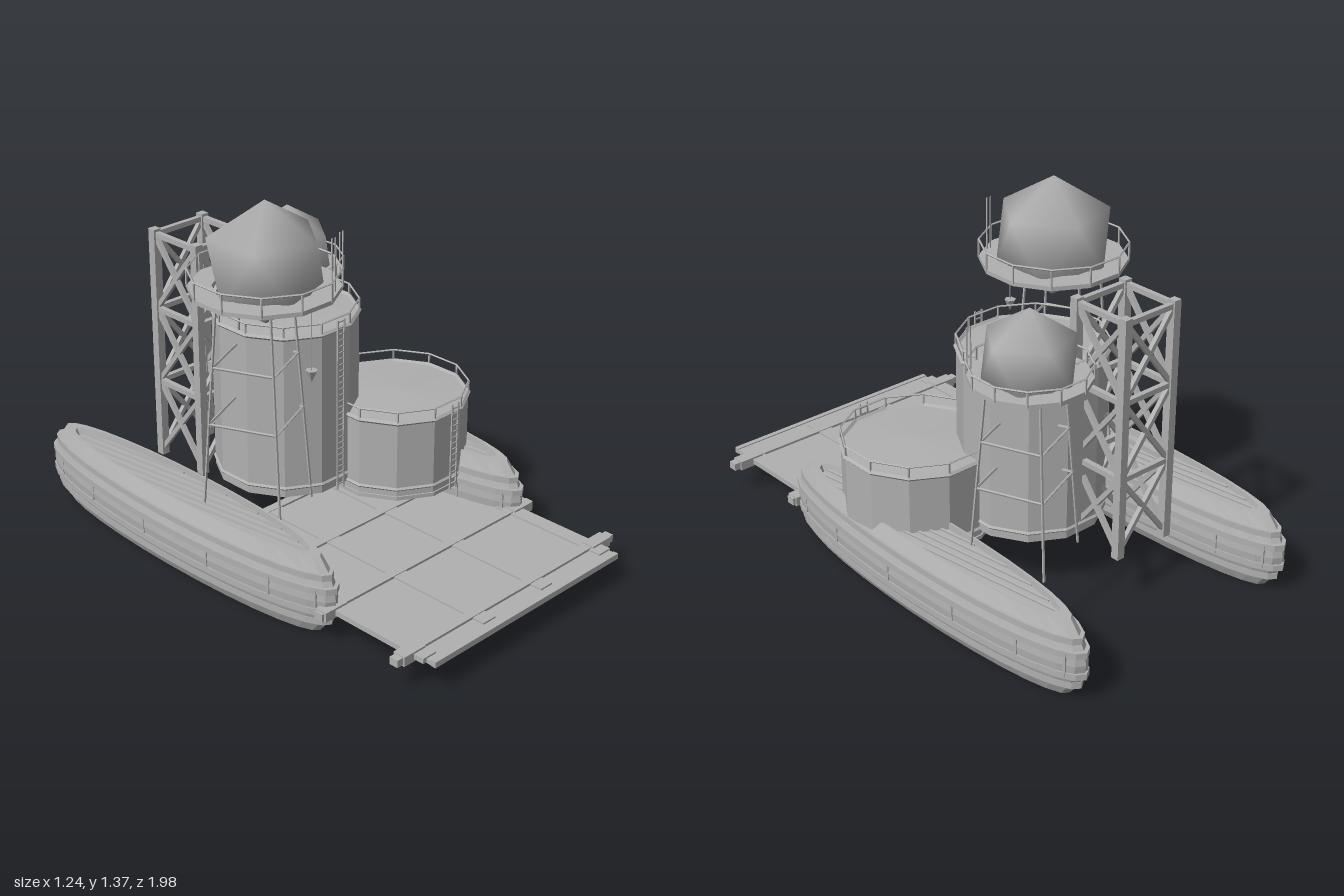
import * as THREE from 'three';
import { mergeVertices } from 'three/addons/utils/BufferGeometryUtils.js';

export function createModel() {
  const root = new THREE.Group();
  const grey = new THREE.MeshStandardMaterial({ color: 0xb0b0b0 });
  grey.name = 'weathered grey';
  const flat = new THREE.MeshStandardMaterial({ color: 0xb0b0b0, flatShading: true });
  flat.name = 'weathered grey faceted';
  const V = (x, y, z) => new THREE.Vector3(x, y, z);

  function group(name, parent = root) {
    const g = new THREE.Group();
    g.name = name;
    parent.add(g);
    return g;
  }
  function add(parent, name, geo, x = 0, y = 0, z = 0, mat = flat) {
    const m = new THREE.Mesh(geo, mat);
    m.name = name;
    m.position.set(x, y, z);
    parent.add(m);
    return m;
  }
  const box = (p, name, w, h, d, x, y, z) => add(p, name, new THREE.BoxGeometry(w, h, d), x, y, z);
  // Square or round bar between two points
  function bar(p, name, a, b, r, sides = 4) {
    const geo = new THREE.CylinderGeometry(r, r, a.distanceTo(b), sides);
    if (sides === 4) geo.rotateY(Math.PI / 4);
    const m = add(p, name, geo);
    m.position.copy(a).add(b).multiplyScalar(0.5);
    m.quaternion.setFromUnitVectors(V(0, 1, 0), b.clone().sub(a).normalize());
    return m;
  }
  function hoop(p, name, r, tube, x, y, z, n) {
    const geo = new THREE.TorusGeometry(r, tube, 4, n).rotateX(Math.PI / 2).rotateY(Math.PI / n);
    return add(p, name, geo, x, y, z);
  }
  const lathe = (pts, n) => new THREE.LatheGeometry(pts.map(q => new THREE.Vector2(...q)), n);

  // Long barrel pontoons: radius 1 is the lid rim, anything beyond is outward bulge
  function pontoonGeometry(pts) {
    const geo = lathe(pts, 28), p = geo.attributes.position;
    for (let i = 0; i < p.count; i++) {
      const x = p.getX(i), z = p.getZ(i), r = Math.hypot(x, z) || 1;
      const inner = Math.min(r, 1), bulge = Math.max(r - 1, 0);
      p.setX(i, x / r * (0.092 * inner + 0.045 * bulge));
      p.setZ(i, z / r * (0.69 * inner + 0.075 * bulge));
    }
    return geo;
  }
  for (const s of [-1, 1]) {
    const g = group(s > 0 ? 'leftPontoon' : 'rightPontoon');
    g.position.set(s * 0.482, 0, -0.22);
    add(g, 'barrelHull', pontoonGeometry([[0, 0.03], [0.2, 0.03], [0.22, 0.012], [0.27, 0.012], [0.29, 0.03],
      [0.9, 0.03], [0.92, 0], [1, 0], [1.55, 0.05], [1.9, 0.1], [2, 0.146], [1.9, 0.19], [1.55, 0.242],
      [1, 0.292], [0.92, 0.292], [0.9, 0.268], [0, 0.268]]));
    for (const [y, b] of [[0.06, 1.63], [0.105, 1.93], [0.187, 1.93], [0.232, 1.63]]) {
      add(g, 'hullHoop', pontoonGeometry([[b - 0.1, y - 0.012], [b + 0.12, y - 0.012],
        [b + 0.12, y + 0.012], [b - 0.1, y + 0.012]]));
    }
    // Staves lapped around the hull
    for (let i = 0; i < 28; i += 2) {
      const a = (i + 0.5) / 28 * Math.PI * 2;
      bar(g, 'staveBatten', V(Math.sin(a) * 0.133, 0.1, Math.cos(a) * 0.755),
        V(Math.sin(a) * 0.133, 0.19, Math.cos(a) * 0.755), 0.007);
    }
    // Diagonal lid planks
    for (let i = -3; i <= 3; i++) {
      const c = i * 0.25, h = Math.sqrt(0.85 - c * c), k = Math.SQRT1_2;
      bar(g, 'lidPlank', V((c - h) * k * 0.09, 0.27, (-c - h) * k * 0.68),
        V((c + h) * k * 0.09, 0.27, (h - c) * k * 0.68), 0.006);
    }
  }

  // Front deck with its beams
  const deck = group('deck');
  box(deck, 'deckPlate', 0.96, 0.016, 1.1, 0, 0.109, 0.44);
  for (const x of [-0.465, -0.17, 0.13, 0.455]) box(deck, 'deckBeam', 0.06, 0.02, 1.06, x, 0.113, 0.425);
  for (const [z, w] of [[0.53, 1.1], [0.89, 1.13]]) {
    box(deck, 'crossBeam', w, 0.028, 0.035, 0, 0.112, z);
    for (const s of [-1, 1]) box(deck, 'beamEnd', 0.1, 0.036, 0.05, s * 0.49, 0.112, z);
  }
  for (const z of [-0.1, 0.2]) box(deck, 'crossBeam', 0.96, 0.026, 0.035, 0, 0.112, z);
  box(deck, 'deckLip', 0.96, 0.022, 0.02, 0, 0.11, 0.985);

  // Storage tanks
  function tank(name, x, z, r, y0, y1, ladderX) {
    const g = group(name), n = 12;
    g.position.set(x, 0, z);
    add(g, 'tankWall', new THREE.CylinderGeometry(r, r, y1 - y0, n).rotateY(Math.PI / n), 0, (y0 + y1) / 2, 0);
    add(g, 'tankRoof', new THREE.CylinderGeometry(0.02, r, 0.012, n).rotateY(Math.PI / n), 0, y1 + 0.006, 0);
    hoop(g, 'roofBand', r, 0.009, 0, y1, 0, n);
    hoop(g, 'baseBand', r, 0.007, 0, y0 + 0.035, 0, n);
    hoop(g, 'roofRail', r, 0.004, 0, y1 + 0.045, 0, n);
    for (let i = 0; i < n; i++) {
      const a = (i + 0.5) / n * Math.PI * 2, c = Math.cos(a) * r, d = Math.sin(a) * r;
      bar(g, 'railPost', V(c, y1, d), V(c, y1 + 0.045, d), 0.004);
    }
    const lz = r + 0.012;
    for (const s of [-1, 1]) bar(g, 'ladderRail', V(ladderX + s * 0.016, y0, lz), V(ladderX + s * 0.016, y1 + 0.045, lz), 0.004);
    for (let y = y0 + 0.02; y < y1 + 0.04; y += 0.024) box(g, 'ladderRung', 0.032, 0.004, 0.004, ladderX, y, lz);
    return g;
  }
  tank('largeTank', 0, -0.2, 0.268, 0.21, 0.84, 0.005);
  const small = tank('smallTank', 0.325, 0.05, 0.272, 0.18, 0.485, 0.015);
  add(small, 'tankFoot', new THREE.CylinderGeometry(0.278, 0.278, 0.015, 12).rotateY(Math.PI / 12), 0, 0.18, 0);

  // Water towers: faceted ball, ring walkway and splayed thin legs
  function waterTower(name, c, legs) {
    const g = group(name), n = 12;
    const ico = new THREE.IcosahedronGeometry(c.r, 0);
    ico.deleteAttribute('normal');
    ico.deleteAttribute('uv');
    const ball = mergeVertices(ico);
    // Stand one corner straight up and point an upper corner to +x
    ball.applyQuaternion(new THREE.Quaternion().setFromUnitVectors(V(0, (1 + Math.sqrt(5)) / 2, 1).normalize()
      .set(0, 1, 0).copy(V(-1, (1 + Math.sqrt(5)) / 2, 0).normalize()), V(0, 1, 0)));
    const p = ball.attributes.position;
    let turn = 0;
    for (let i = 0; i < p.count; i++) {
      if (p.getY(i) > 0 && p.getY(i) < c.r * 0.9) turn = Math.atan2(p.getZ(i), p.getX(i));
    }
    ball.rotateY(turn);
    ball.computeVertexNormals();
    add(g, 'waterBall', ball, c.x + 0.005, c.y, c.z, grey);

    add(g, 'walkway', lathe([[c.R * 0.68, -0.008], [c.R, -0.008], [c.R, 0.008], [c.R * 0.68, 0.008], [c.R * 0.68, -0.008]], n)
      .rotateY(Math.PI / n), c.x, c.deck, c.z);
    hoop(g, 'walkwayRail', c.R, 0.004, c.x, c.deck + c.rail, c.z, n);
    for (let i = 0; i < n; i++) {
      const a = (i + 0.5) / n * Math.PI * 2, x = c.x + Math.cos(a) * c.R, z = c.z + Math.sin(a) * c.R;
      bar(g, 'railPost', V(x, c.deck, z), V(x, c.deck + c.rail, z), 0.004);
    }
    for (const d of [0, 0.016]) {
      const x = c.x + 0.115 + d, z = c.z + c.r * 0.93;
      bar(g, 'fillPipe', V(x, c.deck, z), V(x, c.deck + c.r * 0.9, z), 0.003);
    }

    const point = (k, y) => {
      const t = (y - legs.y0) / (c.deck - legs.y0), R = THREE.MathUtils.lerp(legs.r0, legs.r1, t);
      const a = legs.turn + k * Math.PI / 2;
      return V(legs.x + Math.cos(a) * R, y, c.z + Math.sin(a) * R);
    };
    for (let k = 0; k < 4; k++) {
      bar(g, 'towerLeg', point(k, legs.y0), point(k, c.deck), 0.005);
      for (const y of legs.bars) bar(g, 'legBrace', point(k, y), point(k + 1, y), 0.005);
    }
  }
  waterTower('tallWaterTower', { x: -0.252, y: 1.14, z: -0.035, r: 0.227, R: 0.268, deck: 1.05, rail: 0.07 },
    { x: -0.3, y0: 0.2, r0: 0.21, r1: 0.14, turn: 0.36, bars: [0.575, 0.79] });
  waterTower('shortWaterTower', { x: 0.21, y: 0.95, z: -0.415, r: 0.182, R: 0.215, deck: 0.875, rail: 0.055 },
    { x: 0.23, y0: 0.2, r0: 0.2, r1: 0.14, turn: 0.4, bars: [0.49, 0.665] });

  // Hanging lamp under the tall walkway
  const lamp = group('hangingLamp');
  bar(lamp, 'lampCord', V(-0.252, 0.8, 0.195), V(-0.252, 1.05, 0.195), 0.002);
  add(lamp, 'lampCone', new THREE.ConeGeometry(0.022, 0.045, 6).rotateX(Math.PI), -0.252, 0.79, 0.195);

  // Braced lattice mast at the back
  const mast = group('latticeMast');
  const corners = [[-0.24, -0.405], [-0.01, -0.405], [-0.01, -0.635], [-0.24, -0.635]];
  const levels = [0.2, 0.49, 0.785, 1.08];
  corners.forEach(([x, z], i) => {
    box(mast, 'mastPost', 0.032, 0.92, 0.032, x, 0.64, z);
    const [u, w] = corners[(i + 1) % 4];
    for (let k = 0; k < 4; k++) {
      const y = levels[k];
      if (k > 0) bar(mast, 'mastRail', V(x, y, z), V(u, y, w), 0.014);
      if (k < 3) {
        bar(mast, 'mastBrace', V(x, y, z), V(u, levels[k + 1], w), 0.012);
        bar(mast, 'mastBrace', V(u, y, w), V(x, levels[k + 1], z), 0.012);
      }
    }
  });
  return root;
}
